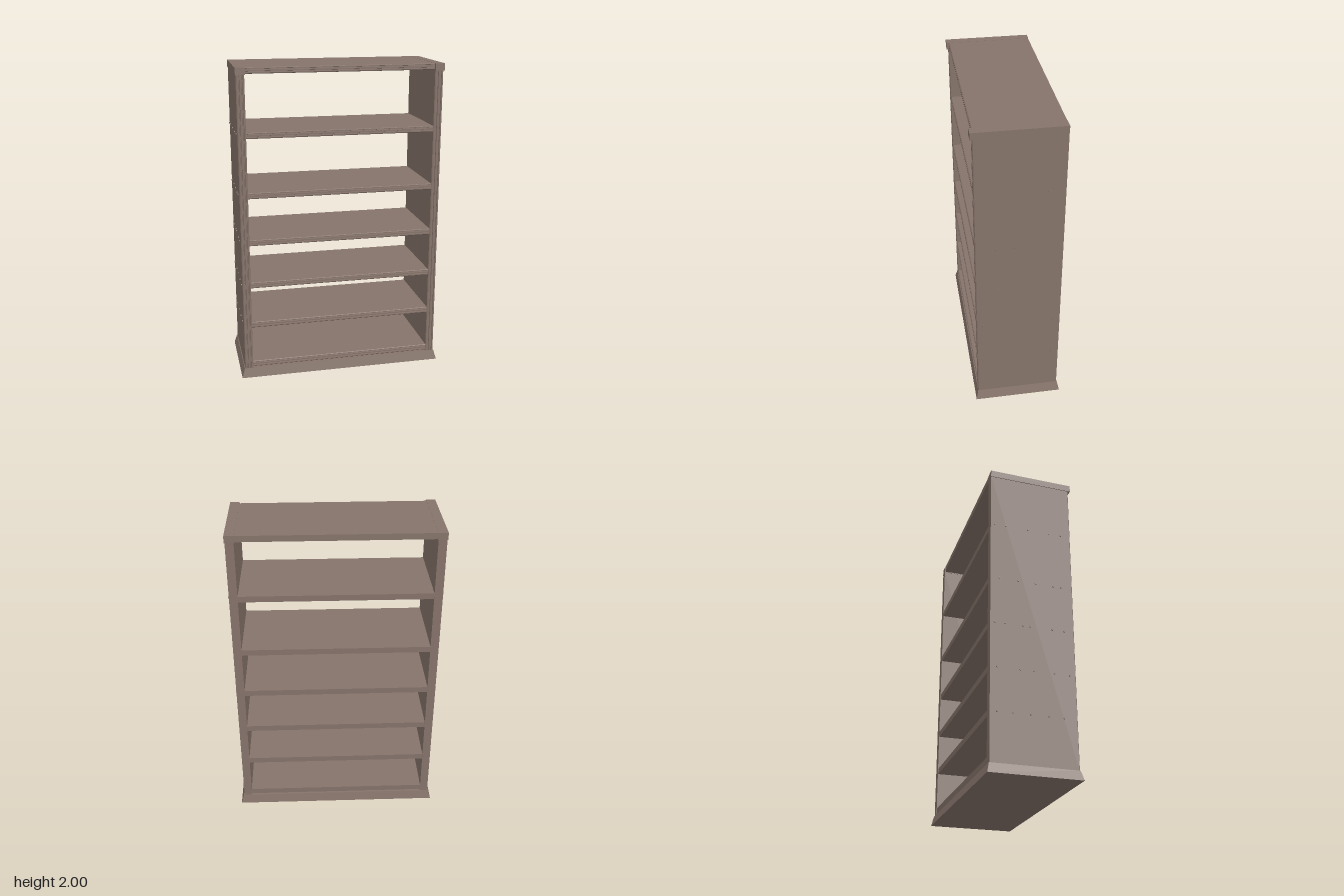
import * as THREE from 'three';

export function createModel() {
  const model = new THREE.Group();
  const wood = new THREE.MeshStandardMaterial({ color: 0x85736a });
  wood.name = 'brown wood';

  const add = (name, geo, x = 0, y = 0, z = 0, parent = model) => {
    const mesh = new THREE.Mesh(geo, wood);
    mesh.name = name;
    mesh.position.set(x, y, z);
    parent.add(mesh);
    return mesh;
  };
  const box = (name, w, h, d, x, y, z, parent) =>
    add(name, new THREE.BoxGeometry(w, h, d), x, y, z, parent);

  // Board cross-section with two shallow grooves cut in its front edge.
  // u runs back to front, v across the thickness.
  const boardShape = (back, front, t) => {
    const h = t / 2, g = 0.006;
    return new THREE.Shape([
      [back, -h], [front - 0.004, -h], [front, -h * 0.8], [front, -h * 0.45],
      [front - g, -h * 0.38], [front - g, -h * 0.22], [front, -h * 0.15],
      [front, h * 0.3], [front - g, h * 0.38], [front - g, h * 0.55],
      [front, h * 0.62], [front, h * 0.85], [front - 0.004, h], [back, h],
    ].map(([u, v]) => new THREE.Vector2(u, v)));
  };
  const extrude = (shape, depth) => {
    const geo = new THREE.ExtrudeGeometry(shape, { depth, bevelEnabled: false });
    return geo.translate(0, 0, -depth / 2);
  };

  // Flared plinth: a box whose upper face is drawn in
  const plinth = new THREE.BoxGeometry(1.326, 0.06, 0.56).toNonIndexed();
  const pos = plinth.attributes.position;
  for (let i = 0; i < pos.count; i++) {
    if (pos.getY(i) > 0) {
      pos.setX(i, Math.sign(pos.getX(i)) * 0.645);
      pos.setZ(i, Math.sign(pos.getZ(i)) * 0.266);
    }
  }
  plinth.computeVertexNormals();
  add('plinth', plinth, 0, 0.03, 0);

  // Shelves and top board, grooved along the front
  const shelfGeo = extrude(boardShape(-0.26, 0.262, 0.038), 1.19).rotateY(-Math.PI / 2);
  [0.087, 0.362, 0.632, 0.914, 1.218, 1.592].forEach((y, i) =>
    add('shelf' + (i + 1), shelfGeo, 0, y, 0));
  add('topBoard', shelfGeo, 0, 1.98, 0);

  // Nail positions along each side panel
  const nailRows = [
    [0.36, [0.18, 0.09, -0.02, -0.125, -0.22]],
    [0.63, [0.225, 0.13, 0.005, -0.08, -0.22]],
    [0.915, [0.2, 0.125, -0.015, -0.06, -0.17, -0.235]],
    [1.215, [0.19, 0.14, 0.025, -0.085, -0.205]],
    [1.595, [0.2, 0.12, -0.02, -0.165, -0.235]],
  ];
  const nailGeo = new THREE.CylinderGeometry(0.006, 0.006, 0.008, 8).rotateZ(Math.PI / 2);

  // Side panels with grooved front stiles, nails and projecting caps
  const panelGeo = extrude(boardShape(-0.262, 0.265, 0.052), 1.9)
    .rotateX(-Math.PI / 2).rotateY(-Math.PI / 2);
  for (const [label, s] of [['left', 1], ['right', -1]]) {
    const side = new THREE.Group();
    side.name = label + 'Side';
    model.add(side);
    add('sidePanel', panelGeo, s * 0.615, 1.01, 0, side);
    box('topCap', 0.059, 0.044, 0.54, s * 0.6155, 1.978, 0.008, side);
    for (const [y, zs] of nailRows)
      for (const z of zs) add('nail', nailGeo, s * 0.643, y, z, side);
  }
  return model;
}
